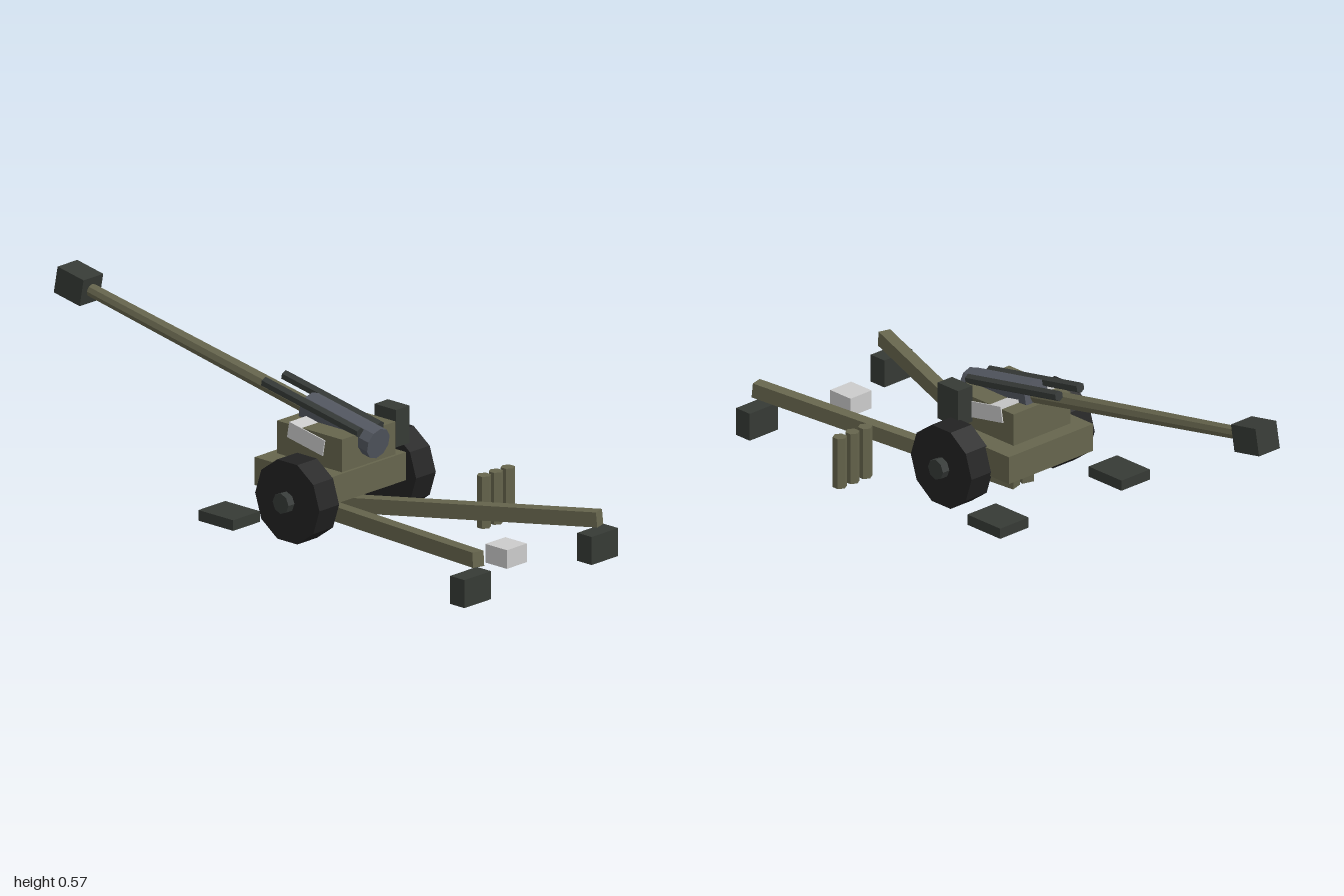
import * as THREE from 'three';

const material = (color) => new THREE.MeshStandardMaterial({ color, flatShading: true });
const OLIVE = material(0x66654d);
const DARK = material(0x363a35);
const TYRE = material(0x222222);
const HUB = material(0x363a38);
const STEEL = material(0x52565f);
const GREY = material(0xcccccc);

const CX = -0.028; // centre line of the gun
const ELEVATION = 0.183;

function add(parent, name, geometry, mat, x = 0, y = 0, z = 0) {
  const mesh = new THREE.Mesh(geometry, mat);
  mesh.name = name;
  mesh.position.set(x, y, z);
  parent.add(mesh);
  return mesh;
}

const box = (w, h, d) => new THREE.BoxGeometry(w, h, d);

// Faceted cylinder along z, from the rear end z0 forward to z1
function rod(rearRadius, frontRadius, z0, z1, sides) {
  return new THREE.CylinderGeometry(rearRadius, frontRadius, z0 - z1, sides)
    .rotateX(Math.PI / 2).translate(0, 0, (z0 + z1) / 2);
}

export function createModel() {
  const model = new THREE.Group();
  model.name = 'fieldGun';

  // Carriage
  add(model, 'carriage', box(0.356, 0.09, 0.305), OLIVE, CX, 0.166, 0.118);
  add(model, 'upperCarriage', box(0.24, 0.105, 0.27), OLIVE, CX, 0.2705, 0.14);
  const cradle = add(model, 'cradleBlock', box(0.248, 0.052, 0.15), GREY, CX, 0.293, 0.128);
  cradle.rotation.x = ELEVATION;
  add(model, 'sightBox', box(0.06, 0.12, 0.09), DARK, 0.122, 0.3, 0.232);

  // Elevated gun assembly, pivoted at the rear of the breech
  const gun = new THREE.Group();
  gun.name = 'gun';
  gun.position.set(CX, 0.29, 0.315);
  gun.rotation.x = ELEVATION;
  model.add(gun);
  add(gun, 'breech', rod(0.05, 0.05, 0, -0.29, 10), STEEL);
  add(gun, 'barrel', rod(0.027, 0.021, -0.2, -1.23, 8), OLIVE);
  add(gun, 'muzzleBrake', box(0.088, 0.088, 0.11), DARK, 0, 0, -1.272);
  for (const side of [-1, 1]) {
    add(gun, 'recoilCylinder', rod(0.017, 0.017, -0.04, -0.445, 6), HUB, side * 0.045, 0.031, 0);
  }

  // Wheels, trails, spades and front pads, mirrored about the centre line
  for (const side of [-1, 1]) {
    const wheel = new THREE.CylinderGeometry(0.134, 0.134, 0.088, 10).rotateZ(Math.PI / 2);
    add(model, 'wheel', wheel, TYRE, CX + side * 0.216, 0.135, 0.178);
    const hub = new THREE.CylinderGeometry(0.033, 0.033, 0.13, 8).rotateZ(Math.PI / 2);
    add(model, 'hub', hub, HUB, CX + side * 0.222, 0.135, 0.175);

    const start = new THREE.Vector3(CX + side * 0.024, 0.045, 0.09);
    const end = new THREE.Vector3(CX + side * 0.271, 0.137, 0.985);
    const trail = add(model, 'trail', box(0.04, 0.048, start.distanceTo(end)), OLIVE);
    trail.position.copy(start).lerp(end, 0.5);
    trail.lookAt(end);

    add(model, 'trailSpade', box(0.119, 0.09, 0.06), DARK, CX + side * 0.284, 0.045, 0.965);
    add(model, 'frontPad', box(0.12, 0.034, 0.145), DARK, CX + side * 0.256, 0.033, -0.068);
  }

  // Shells standing beside the trail and a crate between the trails
  for (let i = 0; i < 3; i++) {
    const shell = new THREE.CylinderGeometry(0.0225, 0.0225, 0.167, 6);
    add(model, 'shell', shell, OLIVE, 0.242 + i * 0.0535, 0.0835, 0.503);
  }
  add(model, 'crate', box(0.089, 0.06, 0.09), GREY, CX, 0.06, 0.848);

  return model;
}
